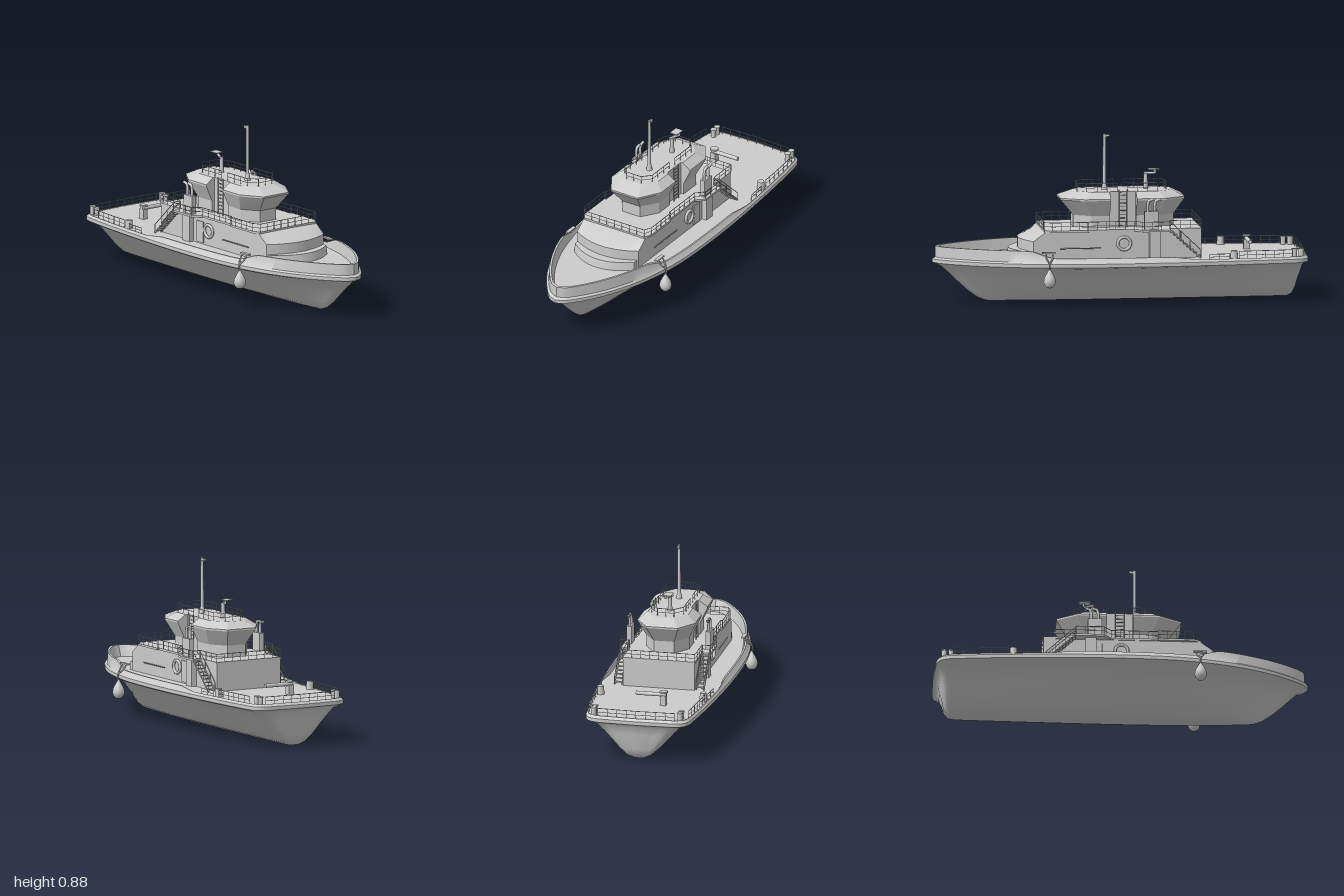
import * as THREE from 'three';
import { mergeGeometries, toCreasedNormals } from 'three/addons/utils/BufferGeometryUtils.js';

const grey = new THREE.MeshStandardMaterial({ color: 0xcccccc, side: THREE.DoubleSide });
const V = (x, y, z) => new THREE.Vector3(x, y, z);
const ss = (x, a, b) => THREE.MathUtils.smoothstep(x, a, b);
const lerp = THREE.MathUtils.lerp;

function add(parent, name, geo, x = 0, y = 0, z = 0) {
  const m = new THREE.Mesh(geo, grey);
  m.name = name;
  m.position.set(x, y, z);
  parent.add(m);
  return m;
}

// Skin a stack of closed rings (bottom to top) and cap both ends.
function loft(rings, crease = 0.6) {
  const pos = [], tri = (...ps) => ps.forEach(p => pos.push(p.x, p.y, p.z));
  const n = rings[0].length;
  const mid = r => r.reduce((s, p) => s.add(p), V(0, 0, 0)).divideScalar(n);
  const last = rings[rings.length - 1], lo = mid(rings[0]), hi = mid(last);
  for (let j = 0; j < n; j++) {
    const k = (j + 1) % n;
    for (let i = 0; i < rings.length - 1; i++) {
      const [p, q] = [rings[i], rings[i + 1]];
      tri(p[j], p[k], q[k]);
      tri(p[j], q[k], q[j]);
    }
    tri(lo, rings[0][k], rings[0][j]);
    tri(hi, last[j], last[k]);
  }
  const g = new THREE.BufferGeometry();
  g.setAttribute('position', new THREE.Float32BufferAttribute(pos, 3));
  return toCreasedNormals(g, crease);
}

// Mirror a half outline [x, z] running aft to forward into a full one.
const mirror = half => [...half, ...half.filter(p => p[1] > 1e-6).reverse().map(([x, z]) => [x, -z])];
const ring = (half, y) => mirror(half).map(([x, z]) => V(x, y, z));

// Straight round bar between two points.
function bar(a, b, r = 0.002, sides = 6) {
  const d = b.clone().sub(a), g = new THREE.CylinderGeometry(r, r, d.length(), sides);
  g.applyQuaternion(new THREE.Quaternion().setFromUnitVectors(V(0, 1, 0), d.normalize()));
  const c = a.clone().add(b).multiplyScalar(0.5);
  return g.translate(c.x, c.y, c.z);
}

// Posts with two horizontal bars along a path of [x, z] points.
function railing(path, y, h, step = 0.05) {
  const parts = [];
  for (let i = 0; i < path.length - 1; i++) {
    const a = V(path[i][0], y, path[i][1]), b = V(path[i + 1][0], y, path[i + 1][1]);
    const up = s => [a, b].map(p => p.clone().setY(y + h * s));
    parts.push(bar(...up(1)), bar(...up(0.5), 0.0015));
    const n = Math.max(1, Math.round(a.distanceTo(b) / step));
    for (let k = 0; k <= n; k++) {
      const p = a.clone().lerp(b, k / n);
      parts.push(bar(p, p.clone().setY(y + h), 0.0016));
    }
  }
  return mergeGeometries(parts);
}

const tube = (pts, r) => new THREE.TubeGeometry(new THREE.CatmullRomCurve3(pts), 16, r, 8);

function hullGeometry() {
  const half = new THREE.CatmullRomCurve3([[-1, 0], [-0.995, 0.12], [-0.985, 0.235], [-0.955, 0.272],
    [-0.85, 0.292], [-0.4, 0.33], [0, 0.342], [0.3, 0.33], [0.5, 0.295], [0.65, 0.25],
    [0.8, 0.18], [0.92, 0.1], [0.98, 0.045], [1, 0]].map(([x, z]) => V(x, 0, z)))
    .getPoints(80).map(p => [p.x, Math.abs(p.z) < 1e-5 ? 0 : p.z]);
  // height, width factor, stern x, bow x
  const levels = [[0, 0.02, -0.9, 0.69], [0.003, 0.13, -0.91, 0.71], [0.02, 0.25, -0.93, 0.755],
    [0.06, 0.4, -0.945, 0.81], [0.115, 0.575, -0.955, 0.87], [0.15, 0.68, -0.965, 0.905],
    [0.19, 0.83, -0.972, 0.95], [0.205, 0.965, -0.985, 0.98], [0.213, 1, -1, 1],
    [0.232, 1, -1, 1], [0.241, 0.975, -0.988, 0.982]];
  const rings = levels.map(([y, f, xs, xb]) =>
    ring(half.map(([x, z]) => [lerp(xs, xb, (x + 1) / 2), z * f]), y));
  // bulwark: outer top, inner top, then down to the deck
  const top = x => 0.245 + 0.015 * ss(x, -0.4, -0.25) + 0.04 * ss(x, 0.38, 0.54);
  for (const [f, xb, onDeck] of [[0.94, 0.982, 0], [0.915, 0.965, 0], [0.895, 0.94, 1]]) {
    rings.push(mirror(half).map(([x, z]) => {
      const k = lerp(0.97, f, ss(x, -0.4, -0.2));
      return V(lerp(-0.985, xb, (x + 1) / 2), onDeck ? 0.24 : top(x), z * k);
    }));
  }
  return loft(rings, 0.7);
}

// Plan with a bowed front edge.
function bowedRing(y, front, bow, w) {
  const half = [[-0.42, w]];
  for (let i = 0; i <= 8; i++) {
    const t = 1 - i / 8;
    half.push([front - bow * t * t, w * t]);
  }
  return ring(half, y);
}

function wheelhouseRing(y, aft, fore, w, end, ca, cf) {
  return ring([[aft, end], [ca, w], [-0.08, w], [-0.08, 0.1], [0.06, 0.1], [0.06, w], [cf, w], [fore, end]], y);
}

function ladder(x, z, y0, y1, w) {
  const parts = [-w, w].map(d => bar(V(x + d, y0, z), V(x + d, y1, z), 0.003));
  for (let y = y0 + 0.01; y < y1; y += 0.02) parts.push(bar(V(x - w, y, z), V(x + w, y, z)));
  return mergeGeometries(parts);
}

function stairs() {
  const parts = [], n = 9;
  for (let i = 0; i < n; i++) {
    const t = (i + 0.5) / n;
    parts.push(new THREE.BoxGeometry(0.018, 0.004, 0.042).translate(lerp(-0.41, -0.25, t), lerp(0.245, 0.39, t), 0.222));
  }
  for (const z of [0.201, 0.243]) {
    const a = V(-0.41, 0.242, z), b = V(-0.25, 0.392, z), up = V(0, 0.045, 0);
    parts.push(bar(a, b, 0.004), bar(a.clone().add(up), b.clone().add(up)));
    for (const t of [0, 0.33, 0.66, 1]) {
      const p = a.clone().lerp(b, t);
      parts.push(bar(p, p.clone().add(up)));
    }
  }
  return mergeGeometries(parts);
}

// Fittings repeated on both sides, built for +z.
function sideFittings() {
  const g = new THREE.Group();
  add(g, 'stairs', stairs());
  add(g, 'door', new THREE.BoxGeometry(0.055, 0.115, 0.008), -0.08, 0.305, 0.197);
  add(g, 'locker', new THREE.BoxGeometry(0.06, 0.145, 0.03), -0.17, 0.313, 0.208);
  add(g, 'lifeRing', new THREE.TorusGeometry(0.034, 0.008, 8, 28), -0.005, 0.322, 0.202);
  add(g, 'handrail', bar(V(0.12, 0.3, 0.205), V(0.34, 0.3, 0.205), 0.003));
  add(g, 'roofLadder', ladder(-0.01, 0.116, 0.397, 0.6, 0.022));
  // exhaust stack with two bent pipes
  add(g, 'exhaustCasing', new THREE.BoxGeometry(0.075, 0.1, 0.028), -0.148, 0.445, 0.215);
  for (const x of [-0.168, -0.13])
    add(g, 'exhaustPipe', tube([V(x, 0.485, 0.215), V(x, 0.53, 0.215), V(x - 0.006, 0.55, 0.215), V(x - 0.03, 0.558, 0.215)], 0.008));
  // round fender on a rope
  const drop = [[0, 0.105], [0.016, 0.109], [0.028, 0.122], [0.033, 0.14], [0.029, 0.16], [0.019, 0.18], [0.009, 0.197], [0.005, 0.208], [0, 0.21]];
  add(g, 'fender', new THREE.LatheGeometry(drop.map(p => new THREE.Vector2(...p)), 24), 0.41, 0, 0.32);
  for (const x of [0.39, 0.425])
    add(g, 'fenderRope', tube([V(0.41, 0.2, 0.322), V(0.41, 0.232, 0.325), V(x, 0.265, 0.3), V(x, 0.292, 0.282)], 0.004));
  add(g, 'fenderBracket', new THREE.BoxGeometry(0.07, 0.008, 0.02), 0.41, 0.29, 0.28);
  // bollards
  for (const dx of [-0.018, 0.018]) {
    add(g, 'sternBollard', new THREE.CylinderGeometry(0.014, 0.014, 0.042, 16), -0.933 + dx, 0.261, 0.235);
    add(g, 'sternBollardCap', new THREE.CylinderGeometry(0.017, 0.017, 0.006, 16), -0.933 + dx, 0.281, 0.235);
  }
  add(g, 'sideBollard', new THREE.CylinderGeometry(0.018, 0.021, 0.045, 16), -0.585, 0.262, 0.28);
  add(g, 'deckRailing', railing([[-0.9, 0.272], [-0.75, 0.285], [-0.61, 0.293]], 0.24, 0.042));
  add(g, 'deckRailing', railing([[-0.56, 0.298], [-0.45, 0.305]], 0.24, 0.03));
  return g;
}

export function createModel() {
  const model = new THREE.Group();
  model.name = 'workboat';
  add(model, 'hull', hullGeometry());

  // deckhouse with sloping front and low step
  add(model, 'deckhouse', loft([bowedRing(0.238, 0.54, 0.06, 0.195), bowedRing(0.34, 0.54, 0.06, 0.195), bowedRing(0.388, 0.42, 0.005, 0.195)]));
  add(model, 'frontStep', loft([bowedRing(0.238, 0.6, 0.08, 0.188), bowedRing(0.285, 0.59, 0.08, 0.188)]));
  const deck = [[-0.42, 0.197], [-0.25, 0.197], [-0.25, 0.245], [-0.1, 0.245], [-0.06, 0.2], [0.19, 0.2], [0.19, 0.21], [0.38, 0.21], [0.42, 0.19]];
  add(model, 'upperDeck', loft([ring(deck, 0.386), ring(deck, 0.397)]));
  const edge = mirror(deck);
  add(model, 'upperDeckRailing', railing([...edge, edge[0]], 0.397, 0.043));

  // wheelhouse flaring to the window tops, with hipped roof
  add(model, 'wheelhouse', loft([
    wheelhouseRing(0.39, -0.29, 0.25, 0.117, 0.055, -0.2, 0.16),
    wheelhouseRing(0.46, -0.29, 0.25, 0.117, 0.055, -0.2, 0.16),
    wheelhouseRing(0.545, -0.345, 0.32, 0.157, 0.085, -0.235, 0.2),
    wheelhouseRing(0.554, -0.345, 0.32, 0.157, 0.085, -0.235, 0.2),
    wheelhouseRing(0.587, -0.28, 0.235, 0.11, 0.05, -0.2, 0.16)], 0.15));
  for (const [a, b, c] of [[-0.04, -0.2, -0.25], [0.015, 0.18, 0.225]])
    add(model, 'roofRailing', railing([[a, 0.087], [b, 0.087], [c, 0.045], [c, -0.045], [b, -0.087], [a, -0.087]], 0.585, 0.043));

  // main mast
  add(model, 'mastBase', new THREE.CylinderGeometry(0.009, 0.017, 0.04, 16), 0.075, 0.605, 0);
  add(model, 'mast', new THREE.CylinderGeometry(0.008, 0.009, 0.3, 16), 0.075, 0.735, 0);
  add(model, 'mastLamp', new THREE.BoxGeometry(0.026, 0.012, 0.012), 0.06, 0.875, 0);

  // roof water cannon
  add(model, 'cannonPost', new THREE.CylinderGeometry(0.01, 0.013, 0.085, 12), -0.147, 0.628, 0);
  add(model, 'cannonArm', bar(V(-0.14, 0.67, 0.012), V(-0.195, 0.672, -0.015), 0.007, 10));
  add(model, 'cannonNozzle', bar(V(-0.195, 0.668, -0.015), V(-0.195, 0.688, -0.015), 0.007, 10));
  add(model, 'cannonPlate', new THREE.BoxGeometry(0.06, 0.004, 0.045), -0.19, 0.69, 0);

  // towing gear on the aft deck
  add(model, 'towPost', new THREE.BoxGeometry(0.035, 0.055, 0.03), -0.7, 0.266, 0.09);
  add(model, 'towBeam', bar(V(-0.7, 0.297, -0.06), V(-0.7, 0.297, 0.105), 0.011, 12));
  add(model, 'towCap', new THREE.CylinderGeometry(0.022, 0.022, 0.008, 16), -0.7, 0.312, 0.09);
  add(model, 'sternRailing', railing([[-0.965, 0.21], [-0.972, 0], [-0.965, -0.21]], 0.24, 0.042));

  // both sides
  for (const s of [1, -1]) {
    const side = sideFittings();
    side.name = s > 0 ? 'starboardFittings' : 'portFittings';
    side.scale.z = s;
    model.add(side);
  }
  return model;
}
